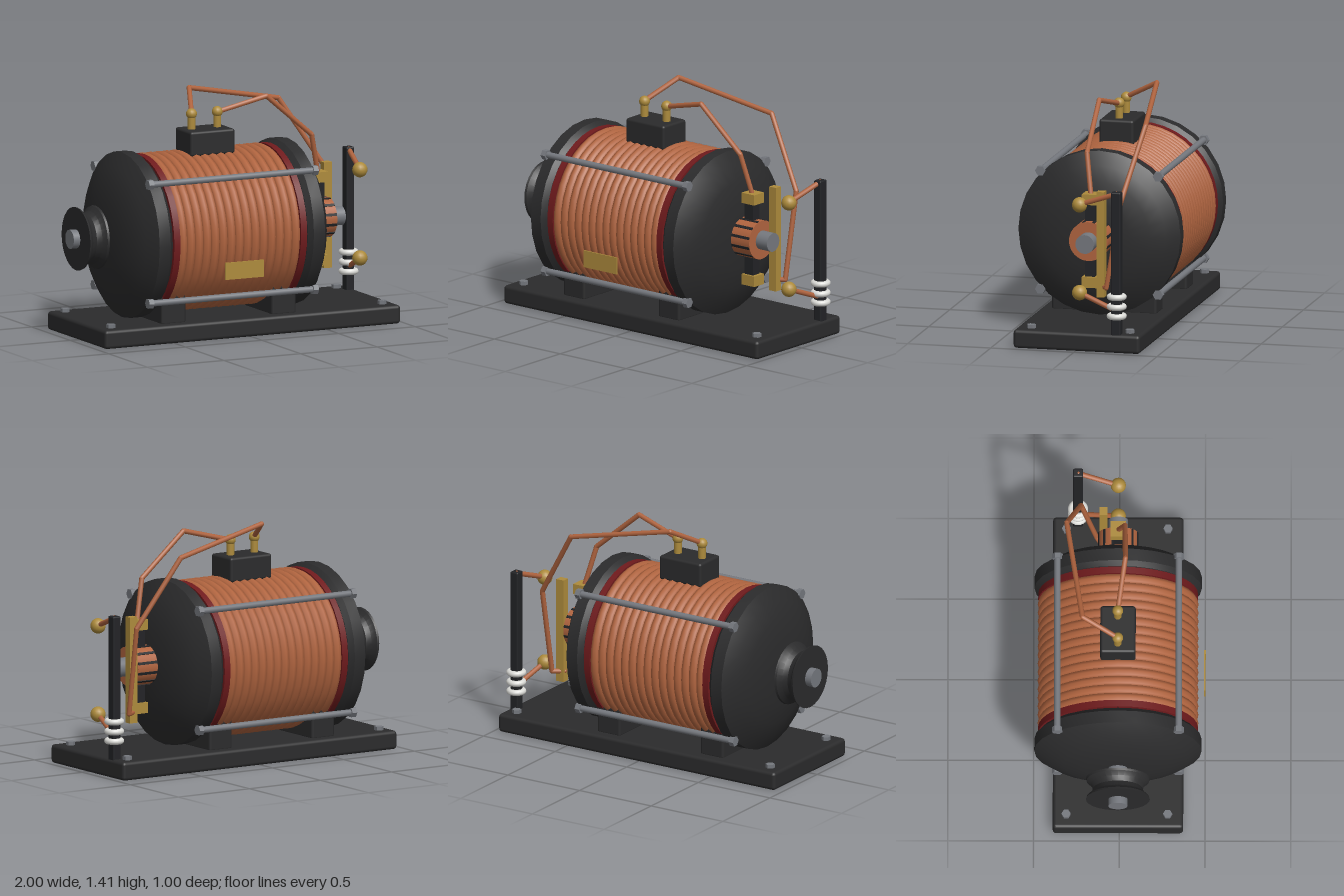
import * as THREE from 'three';
import { toCreasedNormals } from 'three/addons/utils/BufferGeometryUtils.js';
import { RoundedBoxGeometry } from 'three/addons/geometries/RoundedBoxGeometry.js';

const paint = (name, color) => {
  const m = new THREE.MeshStandardMaterial({ color });
  m.name = name;
  return m;
};

export function createModel() {
  const black = paint('black iron', 0x2b2b2c);
  const carbon = paint('carbon', 0x222326);
  const copper = paint('copper', 0xb0643f);
  const red = paint('red insulation', 0x6e1a1c);
  const steel = paint('steel', 0x75787e);
  const brass = paint('brass', 0xad8b3c);
  const white = paint('porcelain', 0xdcdcd8);

  const model = new THREE.Group();
  const AY = 0.597, AZ = -0.008; // motor axis, running along x
  const MID = -0.117; // middle of the drum

  const add = (name, geometry, material, x, y, z) => {
    const mesh = new THREE.Mesh(geometry, material);
    mesh.name = name;
    mesh.position.set(x, y, z);
    model.add(mesh);
    return mesh;
  };
  const box = (name, mat, x0, x1, y0, y1, z0, z1, r = 0) => {
    const size = [x1 - x0, y1 - y0, z1 - z0];
    const geo = r ? new RoundedBoxGeometry(...size, 2, r) : new THREE.BoxGeometry(...size);
    return add(name, geo, mat, (x0 + x1) / 2, (y0 + y1) / 2, (z0 + z1) / 2);
  };
  // Cylinder lying along x between x0 and x1
  const rod = (name, mat, r, x0, x1, y = AY, z = AZ, sides = 24) =>
    add(name, new THREE.CylinderGeometry(r, r, x1 - x0, sides).rotateZ(-Math.PI / 2), mat, (x0 + x1) / 2, y, z);
  // Turned part around the motor axis; points are [radius, x]
  const turned = (points) => toCreasedNormals(
    new THREE.LatheGeometry(points.map(([r, x]) => new THREE.Vector2(r, x)), 28).rotateZ(-Math.PI / 2), 0.5);
  const ball = (name, mat, r, x, y, z) => add(name, new THREE.SphereGeometry(r, 16, 12), mat, x, y, z);

  // Base plate and its four bolts
  box('basePlate', black, -0.957, 0.973, 0, 0.11, -0.388, 0.373, 0.02);
  for (const x of [-0.877, 0.893]) for (const z of [-0.31, 0.282])
    add('baseBolt', toCreasedNormals(new THREE.CylinderGeometry(0.027, 0.027, 0.03, 6), 0.5), steel, x, 0.117, z);

  // Feet under the drum
  box('leftFoot', black, 0.163, 0.323, 0.1, 0.34, -0.325, 0.306, 0.015);
  box('rightFoot', black, -0.557, -0.397, 0.1, 0.34, -0.325, 0.306, 0.015);

  // Domed end bells
  const bell = turned([[0, 0.44], [0.46, 0.44], [0.488, 0.467], [0.488, 0.54], [0.41, 0.59],
    [0.32, 0.624], [0.2, 0.648], [0, 0.65]]);
  add('leftEndBell', bell, black, MID, AY, AZ);
  add('rightEndBell', bell, black, MID, AY, AZ).rotation.y = Math.PI;

  // Winding between two red insulating discs
  rod('windingCore', copper, 0.445, -0.52, 0.285, AY, AZ, 40);
  const turns = 15, pitch = 0.79 / turns;
  const ring = new THREE.TorusGeometry(0.44, 0.029, 8, 40).rotateY(Math.PI / 2);
  for (let i = 0; i < turns; i++) add('windingTurn', ring, copper, -0.512 + (i + 0.5) * pitch, AY, AZ);
  rod('rightInsulatingDisc', red, 0.466, -0.55, -0.51, AY, AZ, 40);
  rod('leftInsulatingDisc', red, 0.466, 0.277, 0.317, AY, AZ, 40);

  // Tie rods with hexagonal nuts
  const nut = toCreasedNormals(new THREE.CylinderGeometry(0.031, 0.031, 0.032, 6).rotateZ(-Math.PI / 2), 0.5);
  for (const sy of [-1, 1]) for (const sz of [-1, 1]) {
    const y = AY + sy * 0.352, z = AZ + sz * 0.354;
    rod('tieRod', steel, 0.019, -0.66, 0.425, y, z, 12);
    for (const x of [-0.654, 0.42]) add('tieRodNut', nut, steel, x, y, z);
  }

  // Shaft and grooved pulley
  rod('shaft', steel, 0.056, -1, 0.776);
  add('pulley', turned([[0, -0.064], [0.187, -0.064], [0.183, -0.052], [0.157, -0.03], [0.145, 0],
    [0.157, 0.03], [0.183, 0.052], [0.187, 0.064], [0, 0.064]]), black, -0.894, AY, AZ);

  // Commutator with insulating strips between the bars
  rod('commutator', copper, 0.116, 0.552, 0.69, AY, AZ, 32);
  for (let i = 0; i < 12; i++) {
    const a = ((i + 0.5) / 12) * Math.PI * 2;
    const strip = add('commutatorStrip', new THREE.BoxGeometry(0.134, 0.012, 0.016), carbon,
      0.621, AY + Math.cos(a) * 0.113, AZ + Math.sin(a) * 0.113);
    strip.rotation.x = a;
  }

  // Carbon brushes, brass holders and the brush bar
  box('upperBrush', carbon, 0.584, 0.648, 0.705, 0.82, -0.037, 0.022);
  box('lowerBrush', carbon, 0.584, 0.648, 0.37, 0.485, -0.037, 0.022);
  box('upperBrushHolder', brass, 0.573, 0.669, 0.81, 0.872, -0.052, 0.037);
  box('lowerBrushHolder', brass, 0.573, 0.669, 0.317, 0.38, -0.052, 0.037);
  box('brushBar', brass, 0.692, 0.744, 0.28, 0.907, -0.117, -0.071);

  // Terminal box with two posts
  box('terminalBox', black, -0.26, 0.03, 1.04, 1.187, -0.112, 0.095, 0.015);
  for (const x of [-0.203, -0.035]) {
    add('terminalPost', new THREE.CylinderGeometry(0.023, 0.023, 0.12, 12), brass, x, 1.22, -0.01);
    ball('terminalKnob', brass, 0.032, x, 1.277, -0.01);
  }

  // Nameplate
  box('nameplate', brass, -0.238, 0.013, 0.376, 0.477, 0.494, 0.503);

  // Upright post, porcelain rings and contact balls
  box('switchPost', carbon, 0.912, 0.965, 0.1, 0.955, -0.272, -0.213, 0.008);
  for (const y of [0.217, 0.273, 0.332])
    add('porcelainRing', new THREE.TorusGeometry(0.041, 0.018, 10, 24).rotateX(Math.PI / 2), white, 0.94, y, -0.243);
  ball('upperContact', brass, 0.045, 0.895, 0.858, -0.008);
  ball('lowerContact', brass, 0.045, 0.895, 0.335, -0.008);

  // Bent copper wires: straight lengths with rounded joints
  const wire = (name, points) => {
    const group = new THREE.Group();
    group.name = name;
    const p = points.map((c) => new THREE.Vector3(...c));
    for (let i = 0; i < p.length; i++) {
      const joint = new THREE.Mesh(new THREE.SphereGeometry(0.015, 8, 6), copper);
      joint.position.copy(p[i]);
      group.add(joint);
      if (!i) continue;
      const along = p[i].clone().sub(p[i - 1]);
      const length = new THREE.Mesh(new THREE.CylinderGeometry(0.015, 0.015, along.length(), 8), copper);
      length.position.copy(p[i]).add(p[i - 1]).multiplyScalar(0.5);
      length.quaternion.setFromUnitVectors(new THREE.Vector3(0, 1, 0), along.normalize());
      group.add(length);
    }
    model.add(group);
  };
  wire('barWire', [[-0.203, 1.28, -0.01], [-0.115, 1.392, -0.216], [0.515, 1.267, -0.308],
    [0.77, 0.86, -0.225], [0.762, 0.342, -0.135], [0.7, 0.342, -0.095]]);
  wire('brushWire', [[-0.035, 1.275, -0.01], [0.265, 1.352, 0.034], [0.56, 1.1, 0.032], [0.622, 0.85, -0.008]]);
  wire('upperContactWire', [[0.895, 0.86, -0.008], [0.938, 0.942, -0.24]]);
  wire('lowerContactWire', [[0.895, 0.335, -0.008], [0.938, 0.25, -0.23]]);

  return model;
}
